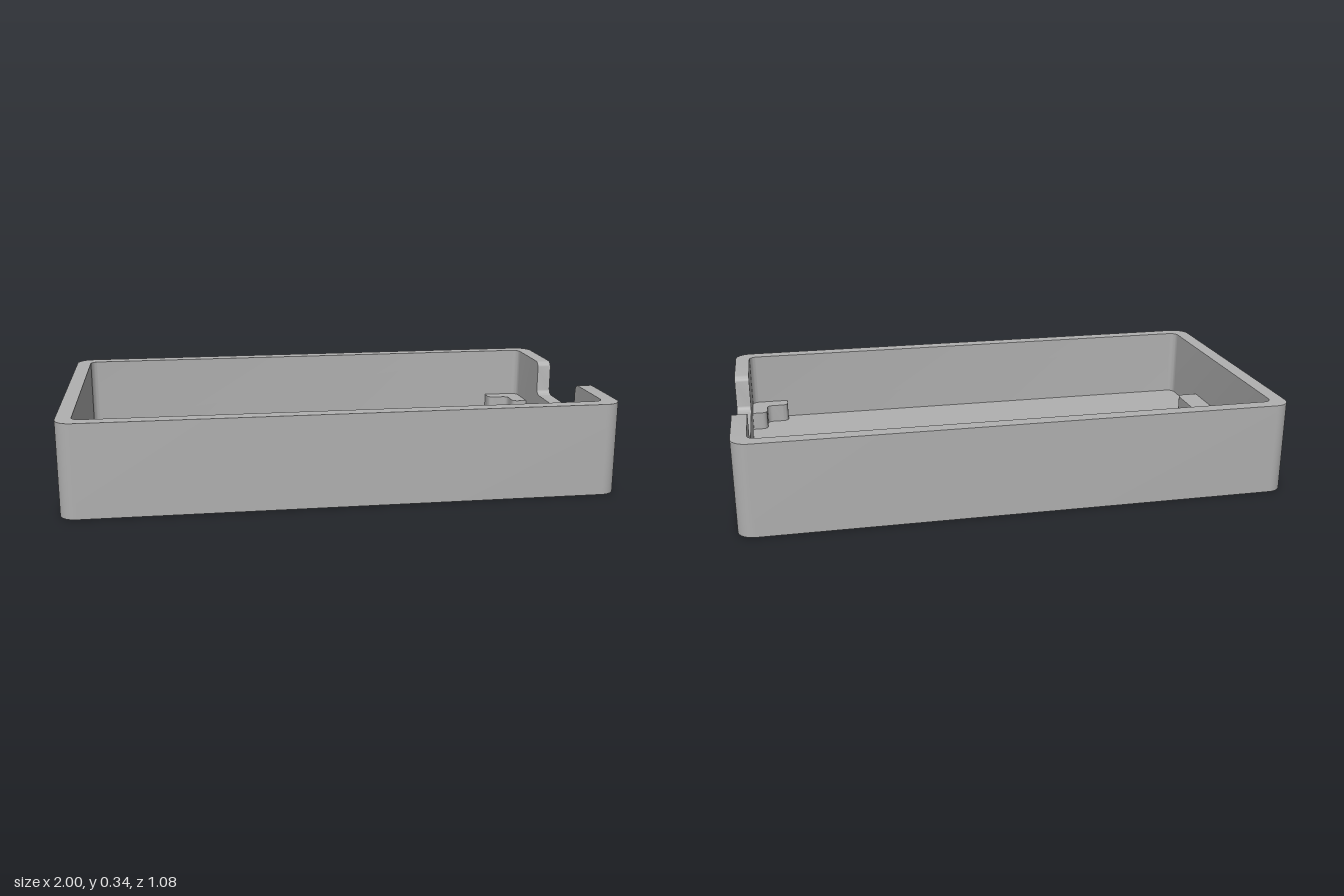
import * as THREE from 'three';
import { toCreasedNormals } from 'three/addons/utils/BufferGeometryUtils.js';

const HX = 1, HZ = 0.54;          // outer half sizes
const IX = 0.945, IZ = 0.488;     // inner half sizes
const TOP = 0.34, FLOOR = 0.07, LEDGE = 0.14;
const CREASE = 0.6;

// Rim heights across the right wall, with rounded notch shoulders and corners
function notchProfile() {
  const r = 0.027, wall = 0.213, base = 0.2, n = 6, half = [];
  for (let i = 0; i <= n; i++) {
    const a = (i / n) * Math.PI / 2;
    half.push([wall + r - r * Math.sin(a), TOP - r + r * Math.cos(a)]);
  }
  for (let i = 0; i <= n; i++) {
    const a = (i / n) * Math.PI / 2;
    half.push([wall - r + r * Math.cos(a) - r, base + r - r * Math.sin(a)]);
    half[half.length - 1][0] += r;
  }
  return [...half, ...half.slice().reverse().map(([z, h]) => [-z, h])];
}

// Stations round the wall: outer point, inner point and rim height
function wallStations() {
  const stations = [], n = 10;
  const corner = (sx, sz, start) => {
    for (let i = 0; i <= n; i++) {
      const a = start + (i / n) * Math.PI / 2, c = Math.cos(a), s = -Math.sin(a);
      const at = (hx, hz, r) => [sx * (hx - r) + r * c, sz * (hz - r) + r * s];
      stations.push({ out: at(HX, HZ, 0.06), inn: at(IX, IZ, 0.03), h: TOP });
    }
  };
  corner(1, 1, -Math.PI / 2);
  for (const [z, h] of notchProfile()) stations.push({ out: [HX, z], inn: [IX, z], h });
  corner(1, -1, 0);
  corner(-1, -1, Math.PI / 2);
  corner(-1, 1, Math.PI);
  return stations;
}

// Tray shell: each section runs underside, outer wall, rim, inner wall, floor
function trayGeometry() {
  const sections = wallStations().map(({ out, inn, h }) => [
    [0, 0, 0], [out[0], 0, out[1]], [out[0], h, out[1]],
    [inn[0], h, inn[1]], [inn[0], FLOOR, inn[1]], [0, FLOOR, 0],
  ].map((p) => new THREE.Vector3(...p)));
  const pos = [];
  const tri = (a, b, c) => {
    const area = b.clone().sub(a).cross(c.clone().sub(a)).length();
    if (area > 1e-9) for (const p of [a, b, c]) pos.push(p.x, p.y, p.z);
  };
  sections.forEach((s, i) => {
    const t = sections[(i + 1) % sections.length];
    for (let j = 0; j < s.length - 1; j++) {
      tri(s[j], t[j], t[j + 1]);
      tri(s[j], t[j + 1], s[j + 1]);
    }
  });
  const geo = new THREE.BufferGeometry();
  geo.setAttribute('position', new THREE.Float32BufferAttribute(pos, 3));
  return toCreasedNormals(geo, CREASE);
}

// Upright block from a plan outline of [x, z, cornerRadius]
function blockGeometry(outline) {
  const shape = new THREE.Shape();
  outline.forEach(([x, z, r], i) => {
    const n = outline.length;
    const p = new THREE.Vector2(x, z);
    const toward = (k) => {
      const q = new THREE.Vector2(outline[k][0], outline[k][1]);
      return q.sub(p).setLength(r).add(p);
    };
    const a = r ? toward((i + n - 1) % n) : p;
    if (i === 0) shape.moveTo(a.x, a.y);
    else shape.lineTo(a.x, a.y);
    if (r) {
      const b = toward((i + 1) % n);
      shape.quadraticCurveTo(x, z, b.x, b.y);
    }
  });
  const geo = new THREE.ExtrudeGeometry(shape, {
    depth: LEDGE - FLOOR + 0.005, bevelEnabled: false, curveSegments: 6,
  });
  geo.rotateX(Math.PI / 2).translate(0, LEDGE, 0);
  return toCreasedNormals(geo, CREASE);
}

export function createModel() {
  const group = new THREE.Group();
  const grey = new THREE.MeshStandardMaterial({ color: 0xb0b0b0 });
  grey.name = 'grey plastic';
  const add = (name, geo) => {
    const mesh = new THREE.Mesh(geo, grey);
    mesh.name = name;
    group.add(mesh);
  };

  add('tray', trayGeometry());

  // Support ledge on the wall opposite the notch
  add('endLedge', blockGeometry([
    [-IX - 0.005, -0.212, 0], [-0.86, -0.212, 0.027],
    [-0.86, 0.212, 0.027], [-IX - 0.005, 0.212, 0],
  ]));

  // Stepped corner supports beside the notch
  for (const [name, s] of [['frontCornerSupport', 1], ['backCornerSupport', -1]]) {
    add(name, blockGeometry([
      [0.8, s * (IZ + 0.005), 0], [0.8, s * 0.43, 0.024], [0.886, s * 0.43, 0.024],
      [0.886, s * 0.346, 0.024], [IX + 0.005, s * 0.346, 0], [IX + 0.005, s * (IZ + 0.005), 0],
    ]));
  }
  return group;
}
